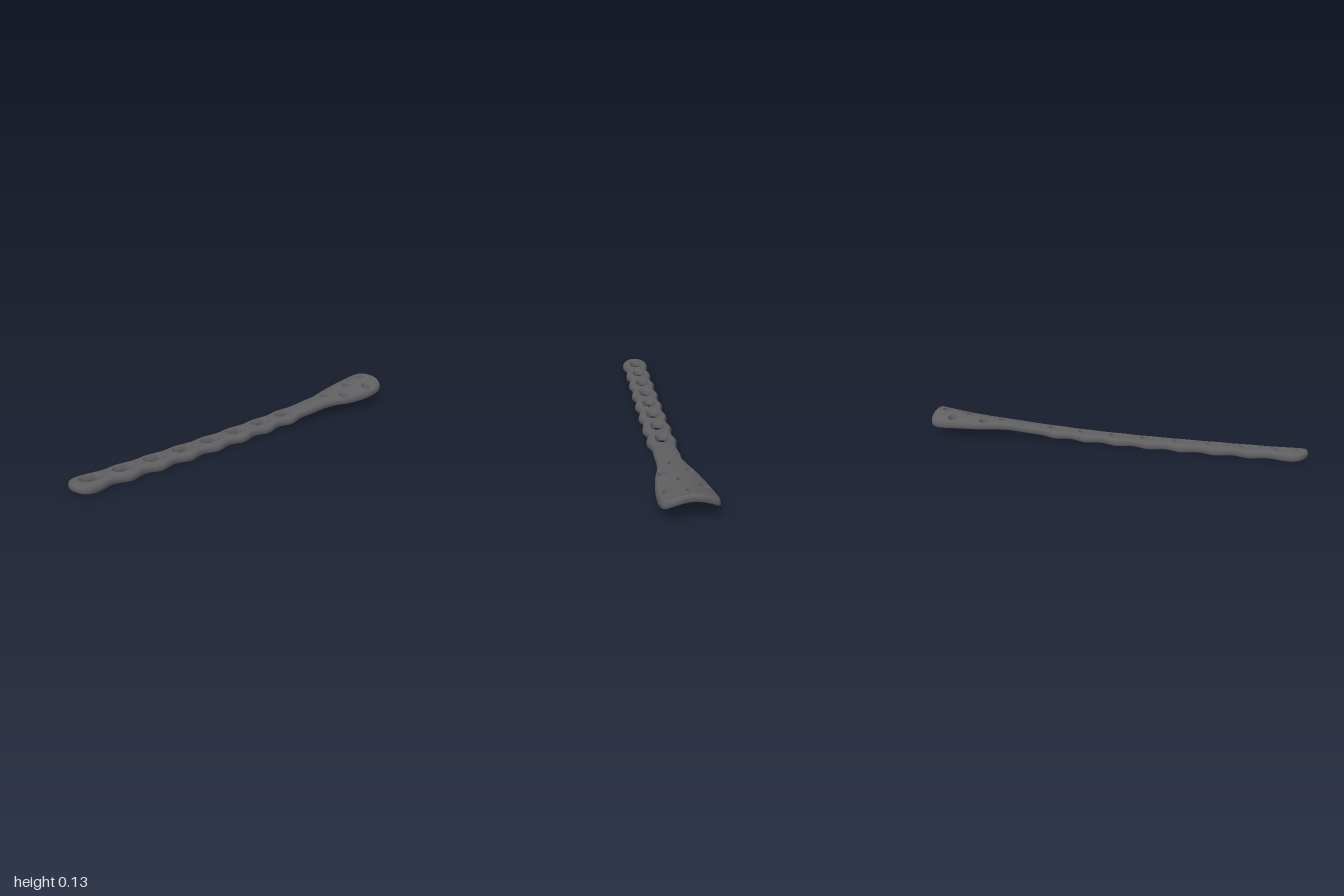
import * as THREE from 'three';
import { mergeVertices } from 'three/addons/utils/BufferGeometryUtils.js';

const THICK = 0.034;
const MAX_EDGE = 0.03;
const SHAFT_Z = 0.02; // the shaft runs slightly off the centre line

// Bends a flat point (x, -z, height) into the long rise and the arched cross-section
function bend([x, v, t]) {
  const z = -v;
  const u = Math.max(0, (x + 0.75) / 1.75);
  const tip = Math.min(0, x + 0.75);
  const head = THREE.MathUtils.smoothstep(x, 0.45, 0.9);
  const arch = THREE.MathUtils.lerp(1.9, 2.7, head);
  const centre = THREE.MathUtils.lerp(SHAFT_Z, 0, head);
  const mid = 0.011 + 0.09 * u ** 3 + 0.06 * tip * tip;
  return [x, mid - arch * (z - centre) ** 2 + t, z];
}

// Splits a triangle until every edge is short enough to bend smoothly
function split(a, b, c, out) {
  const d = (p, q) => Math.hypot(p[0] - q[0], p[1] - q[1], p[2] - q[2]);
  const ab = d(a, b), bc = d(b, c), ca = d(c, a);
  const longest = Math.max(ab, bc, ca);
  if (longest <= MAX_EDGE) {
    out.push(...bend(a), ...bend(b), ...bend(c));
    return;
  }
  if (bc === longest) [a, b, c] = [b, c, a];
  else if (ca === longest) [a, b, c] = [c, a, b];
  const m = a.map((n, i) => (n + b[i]) / 2);
  split(a, m, c, out);
  split(m, b, c, out);
}

// Joins a stack of rings; each level is { ring, t }
function loft(levels, out) {
  for (let k = 0; k + 1 < levels.length; k++) {
    const lo = levels[k], hi = levels[k + 1], n = lo.ring.length;
    for (let i = 0; i < n; i++) {
      const j = (i + 1) % n;
      const at = (l, q) => [l.ring[q].x, l.ring[q].y, l.t];
      split(at(lo, i), at(lo, j), at(hi, j), out);
      split(at(lo, i), at(hi, j), at(hi, i), out);
    }
  }
}

// Fills an outline, leaving the holes open
function cap(outline, holes, t, up, out) {
  const pts = [outline, ...holes].flat();
  for (const f of THREE.ShapeUtils.triangulateShape(outline, holes)) {
    const [a, b, c] = f.map((i) => [pts[i].x, pts[i].y, t]);
    if (up) split(a, b, c, out);
    else split(a, c, b, out);
  }
}

// Moves a counter-clockwise ring inwards
function inset(ring, amount) {
  const n = ring.length;
  return ring.map((p, i) => {
    const d = ring[(i + 1) % n].clone().sub(ring[(i + n - 1) % n]).normalize();
    return new THREE.Vector2(p.x - d.y * amount, p.y + d.x * amount);
  });
}

// Clockwise ring of a round hole (half = 0) or a slot
function holeRing({ x, z, r, half = 0 }, grow) {
  const ring = [], n = 28;
  for (let i = 0; i < n; i++) {
    const a = -((i + 0.5) / n) * Math.PI * 2;
    const c = Math.cos(a);
    ring.push(new THREE.Vector2(x + Math.sign(c) * half + c * (r + grow), -z + Math.sin(a) * (r + grow)));
  }
  return ring;
}

function toMesh(positions, material, name) {
  let geo = new THREE.BufferGeometry();
  geo.setAttribute('position', new THREE.Float32BufferAttribute(positions, 3));
  geo = mergeVertices(geo, 1e-5);
  geo.computeVertexNormals();
  const mesh = new THREE.Mesh(geo, material);
  mesh.name = name;
  return mesh;
}

export function createModel() {
  const group = new THREE.Group();
  group.name = 'bonePlate';
  const metal = new THREE.MeshStandardMaterial({ color: 0x606062 });
  metal.name = 'darkGreyMetal';

  // Slots along the shaft
  const slotX = Array.from({ length: 8 }, (_, i) => -0.895 + i * 0.168);
  const slots = slotX.map((x) => ({ x, z: SHAFT_Z - 0.002, r: 0.024, half: 0.023, sink: 0.01 }));

  // Round holes in the head, and a small pin hole at its neck
  const rounds = [
    [0.604, 0.015], [0.692, -0.047], [0.697, 0.073], [0.794, 0.008],
    [0.864, -0.075], [0.88, 0.078], [0.933, -0.008],
  ].map(([x, z]) => ({ x, z, r: 0.019, sink: 0.005 }));
  const pin = { x: 0.487, z: -0.029, r: 0.007, sink: 0 };
  const holes = [...slots, ...rounds, pin];

  // Wavy shaft edges: widest beside each slot, narrowest between slots
  const edge = [];
  slotX.forEach((x) => edge.push([x, 0.073], [x + 0.084, 0.058]));
  edge.push([0.45, 0.059], [0.54, 0.06]);
  const front = edge.map(([x, w]) => [x, SHAFT_Z + w]);
  const back = edge.map(([x, w]) => [x, SHAFT_Z - w]).reverse();
  const head = [
    [0.62, 0.089], [0.7, 0.108], [0.83, 0.121], [0.94, 0.119], [0.978, 0.107],
    [0.997, 0.07], [0.993, 0], [0.982, -0.08], [0.968, -0.117], [0.938, -0.127],
    [0.83, -0.111], [0.7, -0.084], [0.62, -0.06],
  ];
  const tip = [[-0.95, -0.05], [-0.985, -0.025], [-1, 0.02], [-0.985, 0.065], [-0.95, 0.09]];
  const curve = new THREE.CatmullRomCurve3(
    [...front, ...head, ...back, ...tip].map(([x, z]) => new THREE.Vector3(x, -z, 0)), true);
  const outline = curve.getSpacedPoints(300).slice(0, -1).map((p) => new THREE.Vector2(p.x, p.y));

  // Plate body: rounded rim, top face and underside
  const body = [];
  const rim = [[0, 0.005], [0.006, 0], [0.02, 0], [0.029, 0.003], [THICK, 0.009]]
    .map(([t, amount]) => ({ t, ring: inset(outline, amount) }));
  loft(rim, body);
  cap(rim[0].ring, holes.map((h) => holeRing(h, 0)), 0, false, body);
  cap(rim[4].ring, holes.map((h) => holeRing(h, h.sink)), THICK, true, body);
  group.add(toMesh(body, metal, 'plateBody'));

  // Countersunk walls inside the holes
  const addWalls = (list, name) => {
    const walls = [];
    for (const h of list) {
      loft([[0, 0], [0.012, 0], [0.024, 0.4], [THICK, 1]]
        .map(([t, g]) => ({ t, ring: holeRing(h, g * h.sink) })), walls);
    }
    group.add(toMesh(walls, metal, name));
  };
  addWalls(slots, 'shaftSlots');
  addWalls(rounds, 'headScrewHoles');
  addWalls([pin], 'pinHole');

  return group;
}
